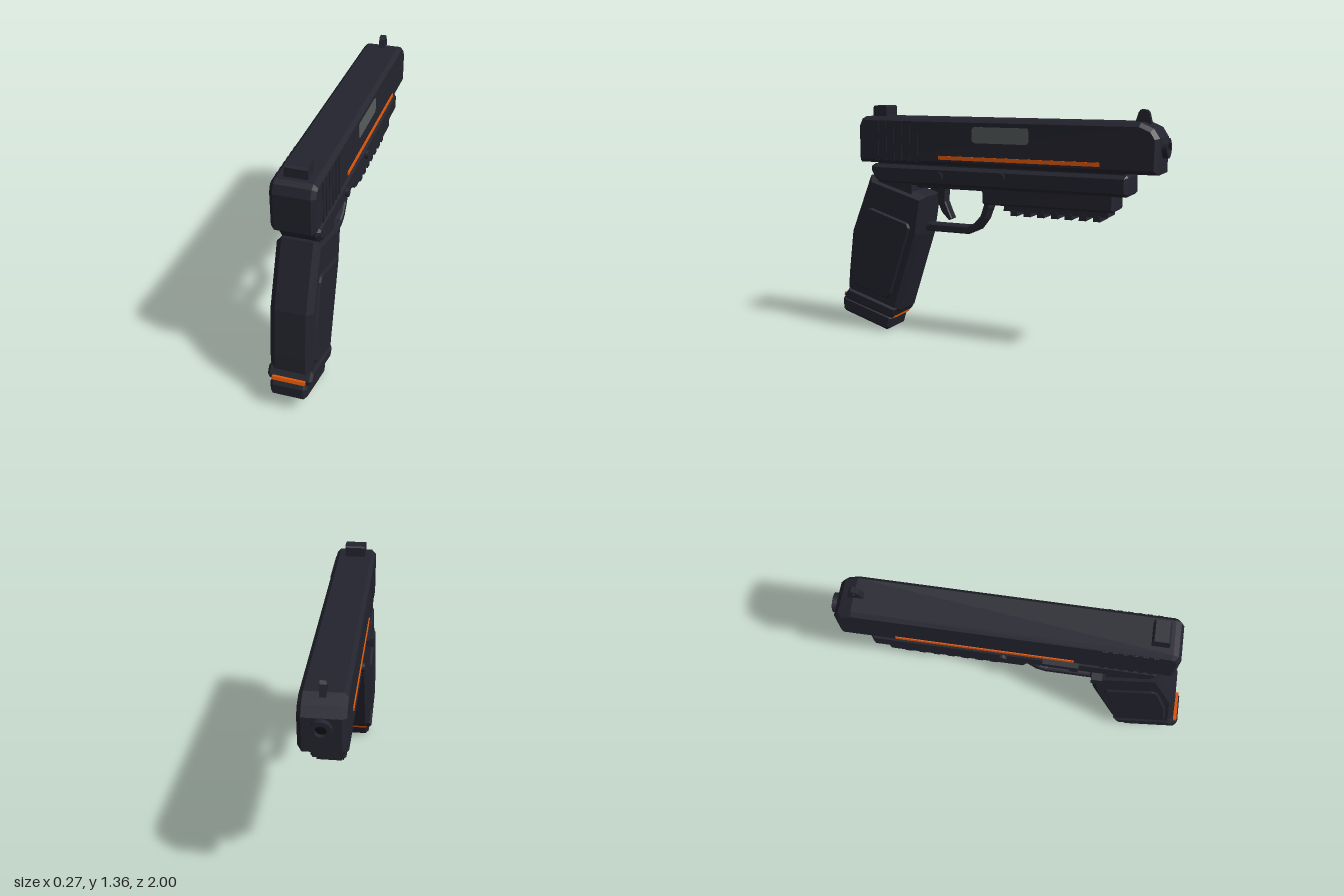
import * as THREE from 'three';

const mat = (name, color) => {
  const m = new THREE.MeshStandardMaterial({ color });
  m.name = name;
  return m;
};

export function createModel() {
  const body = mat('dark body', 0x24242f);
  const orange = mat('orange accent', 0xe85a08);
  const steel = mat('grey steel', 0x565c5d);
  const black = mat('black bore', 0x0e0e13);
  const group = new THREE.Group();
  group.position.x = 0.004;

  const add = (name, geo, material = body) => {
    const m = new THREE.Mesh(geo, material);
    m.name = name;
    group.add(m);
    return m;
  };
  const toPoints = (pts) => pts.map(([z, y]) => new THREE.Vector2(z, y));

  // Side outline given as [z, y], extruded across x with chamfered edges
  const outline = (pts, half, bevel = 0, hole = null) => {
    const shape = new THREE.Shape(toPoints(pts));
    if (hole) shape.holes.push(new THREE.Path(toPoints(hole)));
    const geo = new THREE.ExtrudeGeometry(shape, {
      depth: 2 * (half - bevel), bevelEnabled: bevel > 0, bevelSize: bevel,
      bevelThickness: bevel, bevelOffset: -bevel, bevelSegments: 1,
    });
    geo.translate(0, 0, -(half - bevel));
    geo.rotateY(-Math.PI / 2);
    return geo;
  };
  const box = (name, x0, x1, y0, y1, z0, z1, material) => {
    const m = add(name, new THREE.BoxGeometry(x1 - x0, y1 - y0, z1 - z0), material);
    m.position.set((x0 + x1) / 2, (y0 + y1) / 2, (z0 + z1) / 2);
    return m;
  };

  // Slide
  add('slide', outline([
    [0.84, 1.04], [0.83, 1.03], [-0.97, 1.03], [-0.972, 1.22], [-0.94, 1.27],
    [-0.87, 1.3], [0.79, 1.3], [0.82, 1.285], [0.84, 1.24],
  ], 0.117, 0.022));

  // Accent stripes and rear grip ribs on both sides
  for (const s of [-1, 1]) {
    const stripe = box('sideStripe', -0.004, 0.004, 1.064, 1.086, -0.66, 0.3, orange);
    stripe.position.x = s * 0.118;
    for (let i = 0; i < 6; i++) {
      const z = 0.71 - i * 0.052;
      const rib = box('slideRib', -0.004, 0.004, 1.045, 1.275, z - 0.013, z + 0.013);
      rib.position.x = s * 0.117;
    }
  }

  // Ejection port with rounded corners
  const port = add('ejectionPort', outline([
    [0.09, 1.18], [0.075, 1.165], [-0.24, 1.165], [-0.255, 1.18],
    [-0.255, 1.24], [-0.24, 1.255], [0.075, 1.255], [0.09, 1.24],
  ], 0.004), steel);
  port.position.x = 0.115;

  // Sights
  add('rearSight', outline([
    [0.765, 1.29], [0.675, 1.29], [0.675, 1.355], [0.667 + 0.015, 1.362], [0.755, 1.362], [0.765, 1.35],
  ], 0.06));
  add('frontSight', outline([
    [-0.815, 1.29], [-0.905, 1.29], [-0.89, 1.35], [-0.875, 1.364], [-0.845, 1.364], [-0.835, 1.35],
  ], 0.016));
  const dot = add('sightPin', new THREE.CylinderGeometry(0.009, 0.009, 0.04, 10));
  dot.rotation.z = Math.PI / 2;
  dot.position.set(0, 1.34, -0.862);

  // Muzzle ring and bore
  const ring = new THREE.Shape().absarc(0, 0, 0.053, 0, Math.PI * 2);
  ring.holes.push(new THREE.Path().absarc(0, 0, 0.03, 0, Math.PI * 2, true));
  const muzzle = add('muzzle', new THREE.ExtrudeGeometry(ring, {
    depth: 0.05, curveSegments: 12, bevelEnabled: false,
  }));
  muzzle.position.set(0, 1.165, -1);
  const bore = add('bore', new THREE.CircleGeometry(0.032, 20), black);
  bore.rotation.y = Math.PI;
  bore.position.set(0, 1.165, -0.975);

  // Frame, dust cover and accessory rail
  add('frame', outline([
    [0.74, 0.935], [0.69, 0.905], [-0.8, 0.905], [-0.81, 0.915],
    [-0.81, 1.01], [-0.8, 1.022], [0.74, 1.022], [0.765, 1.005], [0.765, 0.98],
  ], 0.111, 0.02));
  box('slideSeat', -0.09, 0.09, 1.0, 1.05, -0.79, 0.72);
  add('dustCover', outline([
    [0.04, 0.93], [0.04, 0.825], [0.03, 0.815], [-0.72, 0.815], [-0.732, 0.825], [-0.732, 0.93],
  ], 0.09, 0.012));
  box('rail', -0.065, 0.065, 0.785, 0.82, -0.695, -0.085);
  for (let i = 0; i < 7; i++) {
    const z = -0.148 - i * 0.081;
    box('railTooth', -0.07, 0.07, 0.76, 0.79, z - 0.02, z + 0.02);
  }

  // Trigger guard and trigger
  add('triggerGuard', outline([
    [0.53, 0.915], [0.02, 0.915], [0.012, 0.87], [0.014, 0.79], [0.04, 0.72],
    [0.09, 0.655], [0.15, 0.628], [0.52, 0.628], [0.53, 0.64],
  ], 0.04, 0.008, [
    [0.49, 0.885], [0.49, 0.675], [0.16, 0.675], [0.115, 0.695], [0.075, 0.74],
    [0.055, 0.8], [0.05, 0.86], [0.07, 0.885],
  ]));
  add('trigger', outline([
    [0.365, 0.92], [0.355, 0.8], [0.33, 0.745], [0.285, 0.7], [0.262, 0.71],
    [0.285, 0.76], [0.305, 0.81], [0.3, 0.92],
  ], 0.03, 0.006));

  // Grip with raised side panels
  add('grip', outline([
    [0.775, 0.95], [0.915, 0.6], [0.95, 0.33], [0.957, 0.24], [0.935, 0.215],
    [0.61, 0.12], [0.59, 0.135], [0.435, 0.61], [0.398, 0.84],
  ], 0.115, 0.032));
  add('gripPanels', outline([
    [0.78, 0.755], [0.755, 0.755], [0.51, 0.68], [0.497, 0.65], [0.635, 0.235],
    [0.665, 0.205], [0.885, 0.27], [0.905, 0.295], [0.875, 0.5], [0.8, 0.73],
  ], 0.125, 0.01));
  add('gripFlange', outline([
    [0.97, 0.2], [0.935, 0.245], [0.6, 0.145], [0.62, 0.105], [0.64, 0.085], [0.965, 0.175],
  ], 0.122, 0.014));

  // Magazine base with accent strips at both ends
  add('magazineBase', outline([
    [1.0, 0.165], [0.985, 0.187], [0.655, 0.09], [0.648, 0.072],
    [0.667, 0.012], [0.69, 0.0], [0.985, 0.088], [1.0, 0.103],
  ], 0.1, 0.018));
  for (const [y, z] of [[0.193, 0.968], [0.094, 0.652]]) {
    const strip = add('baseStrip', new THREE.BoxGeometry(0.18, 0.02, 0.04), orange);
    strip.position.set(0, y, z);
    strip.rotation.x = -0.28;
  }

  // Cross pins through the frame
  for (const [y, z] of [[0.965, 0.305], [0.978, -0.085]]) {
    const pin = add('framePin', new THREE.CylinderGeometry(0.027, 0.027, 0.256, 16));
    pin.rotation.z = Math.PI / 2;
    pin.position.set(0, y, z);
  }

  // Controls on the right-hand side of the model
  box('slideStop', -0.137, -0.1, 0.99, 1.025, 0.135, 0.33);
  box('magazineRelease', -0.14, -0.09, 0.83, 0.885, 0.485, 0.545).position.z = 0.44;
  box('releaseMount', -0.1, 0.1, 0.85, 0.94, 0.49, 0.72);

  return group;
}
